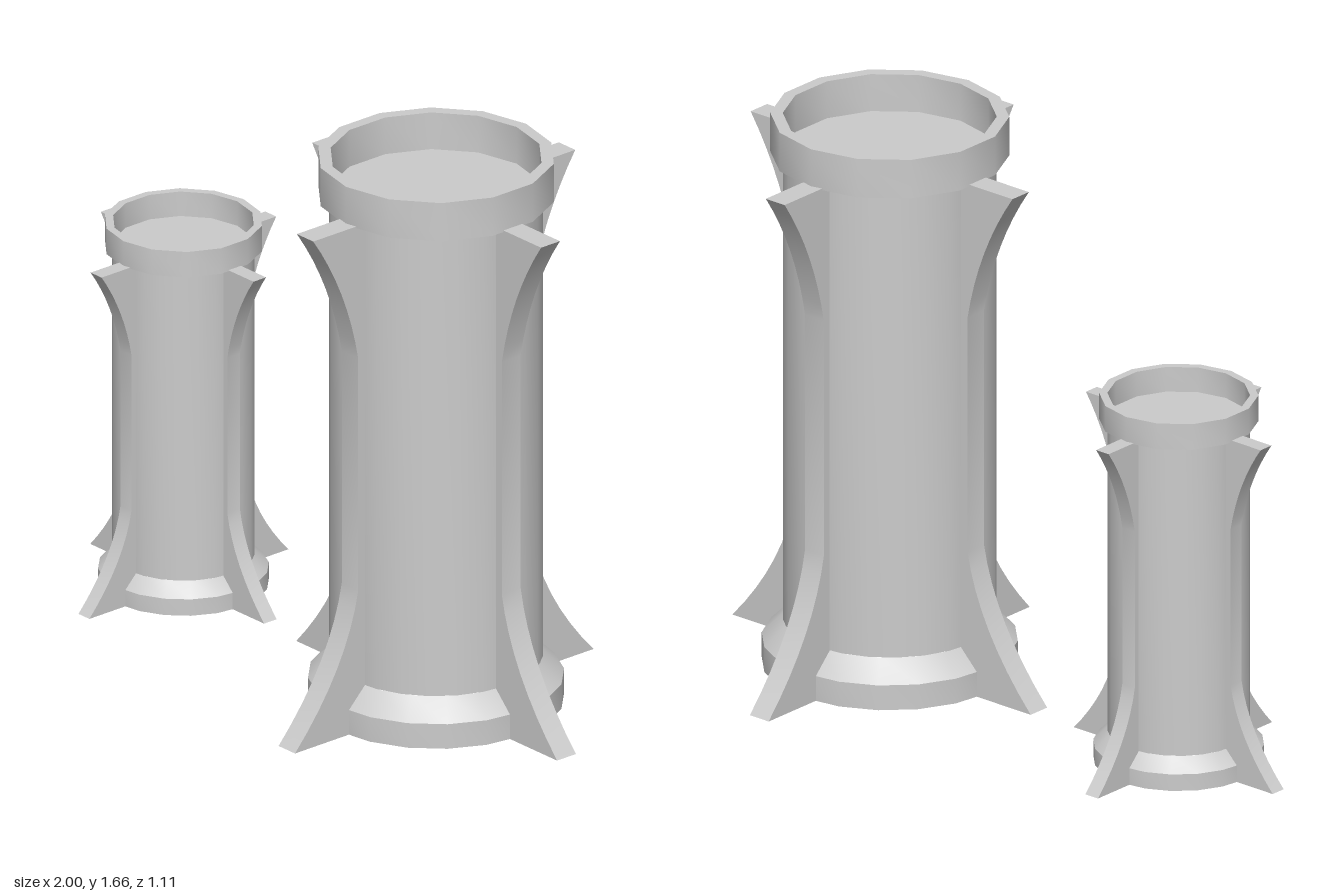
import * as THREE from 'three';
import { toCreasedNormals } from 'three/addons/utils/BufferGeometryUtils.js';

const material = new THREE.MeshStandardMaterial({ color: 0xcccccc, side: THREE.DoubleSide });

function add(parent, name, geometry) {
  const mesh = new THREE.Mesh(geometry, material);
  mesh.name = name;
  parent.add(mesh);
  return mesh;
}

// Turned shape from [radius, height] pairs, with sharp edges kept
function turned(profile, sides) {
  const points = profile.map(([r, y]) => new THREE.Vector2(r, y));
  return toCreasedNormals(new THREE.LatheGeometry(points, sides), 0.5);
}

// Radial buttress: splayed foot, straight middle, flared bracket at the top
function finGeometry() {
  const inner = 0.28, thickness = 0.07;
  const shape = new THREE.Shape();
  shape.moveTo(inner, 0);
  shape.lineTo(0.555, 0);
  shape.quadraticCurveTo(0.36, 0.21, 0.32, 0.43);
  shape.lineTo(0.32, 1.14);
  shape.quadraticCurveTo(0.36, 1.36, 0.487, 1.545);
  shape.lineTo(inner, 1.545);
  shape.closePath();
  const geometry = new THREE.ExtrudeGeometry(shape, {
    depth: thickness, bevelEnabled: false, curveSegments: 8,
  });
  geometry.translate(0, 0, -thickness / 2);
  return toCreasedNormals(geometry, 0.5);
}

function createTower(name) {
  const tower = new THREE.Group();
  tower.name = name;

  // Hollow shaft with its stepped, chamfered base, open underneath
  add(tower, 'base', turned([[0.36, 0], [0.36, 0.075], [0.3, 0.135]], 20));
  add(tower, 'shaft', turned([[0.3, 0.135], [0.3, 1.545]], 24));

  // Raised rim around the sunken top floor
  add(tower, 'rim', turned(
    [[0.3, 1.54], [0.335, 1.54], [0.335, 1.657], [0.3, 1.657], [0.3, 1.54]], 14));
  const floor = add(tower, 'topFloor', new THREE.CircleGeometry(0.305, 24));
  floor.rotation.x = -Math.PI / 2;
  floor.position.y = 1.545;

  // Four buttresses around the shaft
  const geometry = finGeometry();
  for (let i = 0; i < 4; i++) {
    add(tower, 'buttress' + (i + 1), geometry).rotation.y = i * Math.PI / 2;
  }
  return tower;
}

export function createModel() {
  const model = new THREE.Group();
  model.name = 'towers';

  const large = createTower('largeTower');
  large.position.x = 0.445;

  const small = createTower('smallTower');
  small.scale.setScalar(2 / 3);
  small.position.x = -0.63;

  model.add(large, small);
  return model;
}
